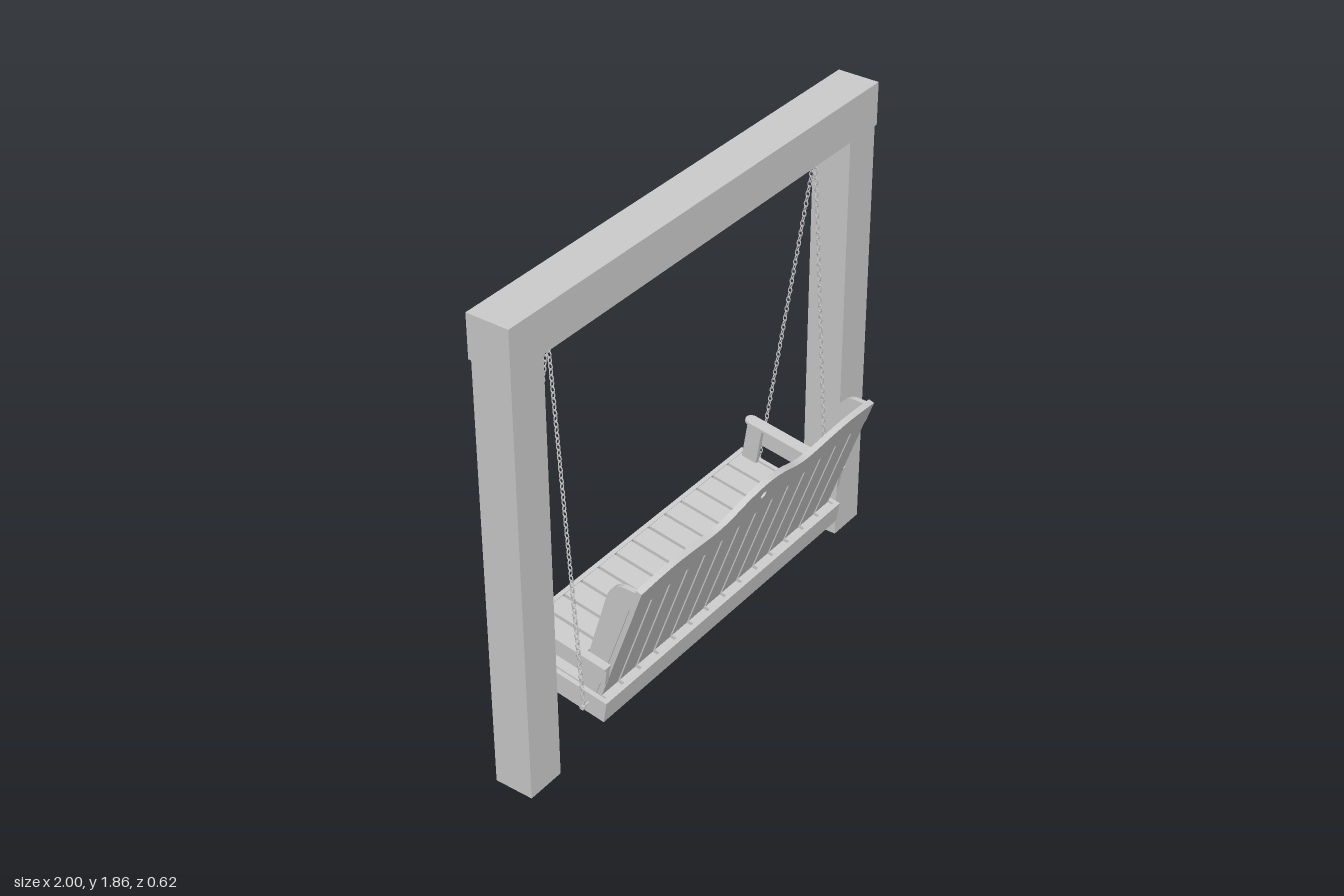
import * as THREE from 'three';
import { mergeGeometries } from 'three/addons/utils/BufferGeometryUtils.js';

const mat = new THREE.MeshStandardMaterial({ color: 0xcccccc });

function add(parent, name, geo) {
  const m = new THREE.Mesh(geo, mat);
  m.name = name;
  parent.add(m);
  return m;
}

// Box given by its min and max along each axis
function box(parent, name, [x0, x1], [y0, y1], [z0, z1]) {
  const m = add(parent, name, new THREE.BoxGeometry(x1 - x0, y1 - y0, z1 - z0));
  m.position.set((x0 + x1) / 2, (y0 + y1) / 2, (z0 + z1) / 2);
  return m;
}

const span = (s, a, b) => (s > 0 ? [a, b] : [-b, -a]);
const extrude = (shape, depth) =>
  new THREE.ExtrudeGeometry(shape, { depth, bevelEnabled: false, curveSegments: 12 });

// Chain of oval links, each turned a quarter against the last
function chainGeometry(from, to) {
  const dir = to.clone().sub(from);
  const count = Math.round(dir.length() / 0.021);
  const align = new THREE.Quaternion().setFromUnitVectors(
    new THREE.Vector3(0, 1, 0), dir.clone().normalize());
  const links = [];
  for (let i = 0; i <= count; i++) {
    const g = new THREE.TorusGeometry(0.0075, 0.0023, 5, 10);
    g.scale(1, 1.6, 1);
    g.rotateY((i % 2) * Math.PI / 2);
    g.applyQuaternion(align);
    const p = from.clone().addScaledVector(dir, i / count);
    g.translate(p.x, p.y, p.z);
    links.push(g);
  }
  return mergeGeometries(links);
}

const SLATS = 14, PITCH = 0.0985, GAP = 0.013;
function slats(parent, name, halfWidth, y, z) {
  for (let i = 0; i < SLATS; i++) {
    const c = (i - (SLATS - 1) / 2) * PITCH;
    const w = (PITCH - GAP) / 2;
    box(parent, name, [Math.max(c - w, -halfWidth), Math.min(c + w, halfWidth)], y, z);
  }
}

function buildBack() {
  const back = new THREE.Group();
  back.name = 'backrest';
  slats(back, 'backSlat', 0.685, [-0.01, 0.445], [-0.021, -0.001]);

  // Wavy crest board with a round hole
  const crest = new THREE.Shape();
  crest.moveTo(-0.687, 0.442);
  crest.lineTo(0.687, 0.442);
  crest.lineTo(0.687, 0.54);
  const wave = [[0.687, 0.54], [0.6, 0.551], [0.5, 0.556], [0.4, 0.549], [0.28, 0.538],
    [0.2, 0.548], [0.1, 0.582], [0, 0.597]];
  const points = [...wave, ...wave.slice(0, -1).reverse().map(([x, y]) => [-x, y])];
  crest.splineThru(points.slice(1).map(([x, y]) => new THREE.Vector2(x, y)));
  const hole = new THREE.Path();
  hole.absarc(0, 0.535, 0.016, 0, Math.PI * 2, true);
  crest.holes.push(hole);
  add(back, 'crestBoard', extrude(crest, 0.023)).position.z = -0.023;

  // Side wings with a rounded front top, drawn as (forward, up)
  for (const s of [-1, 1]) {
    const wing = new THREE.Shape();
    wing.moveTo(0.021, -0.04);
    wing.lineTo(0.09, -0.04);
    wing.lineTo(0.1, 0.14);
    wing.lineTo(0.113, 0.42);
    wing.bezierCurveTo(0.115, 0.475, 0.09, 0.505, 0.063, 0.514);
    wing.lineTo(0.021, 0.528);
    const g = extrude(wing, 0.02);
    g.rotateY(Math.PI / 2);
    g.translate(s > 0 ? 0.667 : -0.687, 0, 0);
    add(back, 'backWing', g);
  }
  back.position.set(0, 0.087, -0.037);
  back.rotation.x = 0.178;
  return back;
}

function buildArm(s) {
  const arm = new THREE.Group();
  arm.name = s > 0 ? 'leftArm' : 'rightArm';
  // Arm board with rounded front, notched around the wing; drawn as (x, forward)
  const top = new THREE.Shape();
  top.moveTo(0.689, 0.016);
  top.lineTo(0.722, 0.016);
  top.lineTo(0.722, 0.425);
  top.absarc(0.696, 0.425, 0.026, 0, Math.PI, false);
  top.lineTo(0.67, 0.115);
  top.lineTo(0.689, 0.115);
  const g = extrude(top, 0.01);
  g.rotateX(-Math.PI / 2);
  g.translate(0, 0.238, 0);
  if (s < 0) g.rotateZ(Math.PI).translate(0, 0.486, 0);
  add(arm, 'armBoard', g);
  box(arm, 'armRail', span(s, 0.689, 0.707), [0.163, 0.238], [-0.43, -0.018]);
  box(arm, 'armPost', span(s, 0.67, 0.689), [0.01, 0.238], [-0.427, -0.362]);
  return arm;
}

function buildBench() {
  const bench = new THREE.Group();
  bench.name = 'bench';
  // Seat frame
  box(bench, 'frontApron', [-0.708, 0.708], [0, 0.087], [-0.455, -0.437]);
  box(bench, 'backApron', [-0.708, 0.708], [0, 0.087], [-0.018, 0]);
  for (const s of [-1, 1]) {
    box(bench, 'sideRail', span(s, 0.69, 0.708), [0, 0.087], [-0.437, -0.018]);
    bench.add(buildArm(s));
  }
  slats(bench, 'seatSlat', 0.69, [0.066, 0.085], [-0.437, -0.018]);
  bench.add(buildBack());
  bench.position.set(0, 0.18, 0.14);
  bench.rotation.x = 0.155;
  return bench;
}

export function createModel() {
  const model = new THREE.Group();
  model.name = 'porchSwing';

  // Supporting frame
  box(model, 'beam', [-1, 1], [1.692, 1.857], [-0.107, 0.058]);
  for (const s of [-1, 1]) {
    box(model, 'post', span(s, 0.84, 0.995), [0, 1.692], [-0.1, 0.053]);
  }
  model.add(buildBench());

  // Chains meet at an eye under the beam and end at bolts on the seat sides
  for (const s of [-1, 1]) {
    const eye = add(model, 'beamEye', new THREE.TorusGeometry(0.011, 0.003, 6, 14));
    eye.position.set(s * 0.732, 1.678, -0.02);
    for (const [y, z] of [[0.235, 0.075], [0.275, -0.235]]) {
      const end = new THREE.Vector3(s * 0.733, y, z);
      add(model, 'chain', chainGeometry(end, new THREE.Vector3(s * 0.732, 1.668, -0.02)));
      const bolt = add(model, 'chainBolt', new THREE.CylinderGeometry(0.005, 0.005, 0.04, 8));
      bolt.rotation.z = Math.PI / 2;
      bolt.position.set(s * 0.72, y, z);
      const head = add(model, 'boltHead', new THREE.CylinderGeometry(0.01, 0.01, 0.006, 10));
      head.rotation.z = Math.PI / 2;
      head.position.set(s * 0.741, y, z);
    }
  }
  return model;
}
